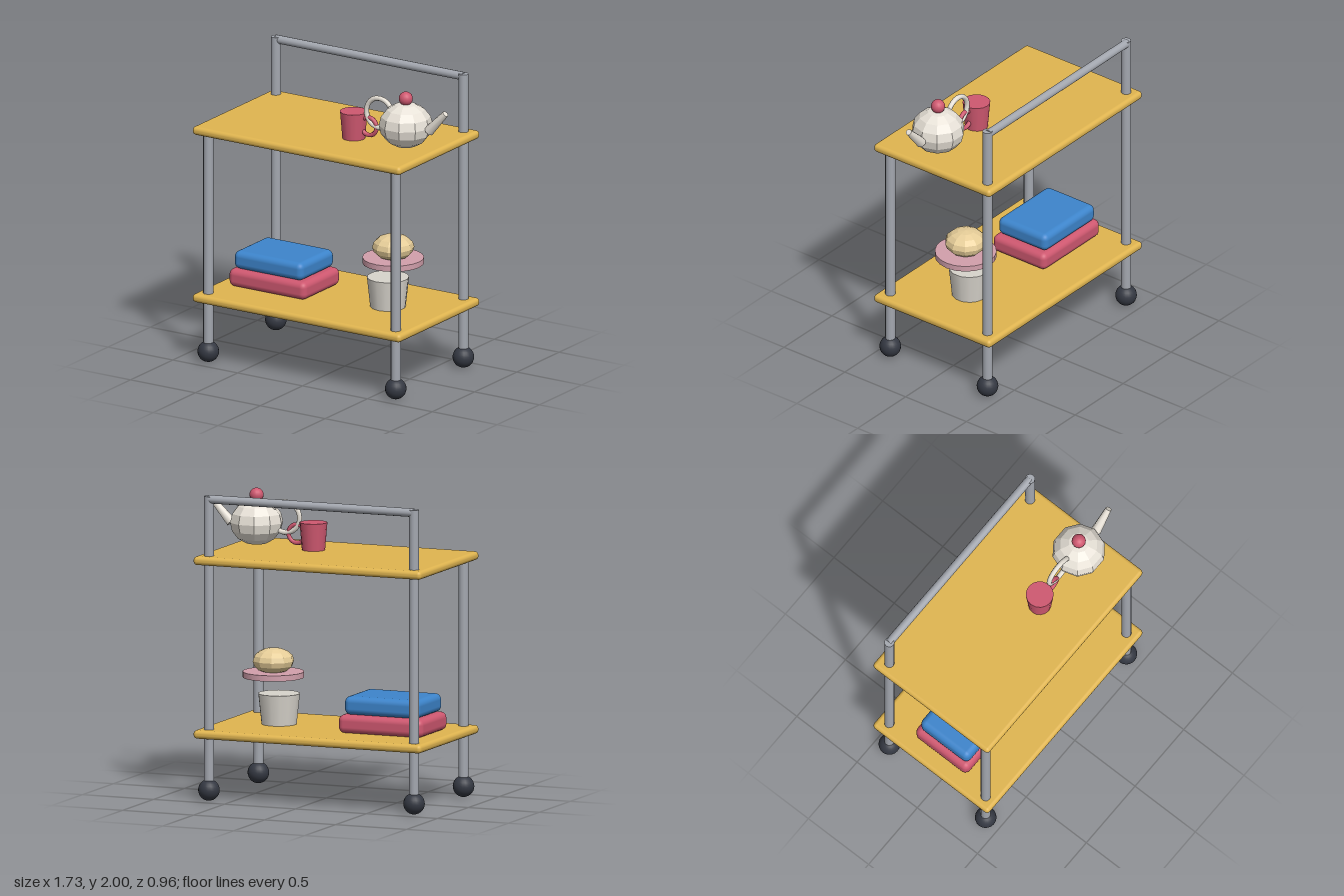
import * as THREE from 'three';
import { RoundedBoxGeometry } from 'three/addons/geometries/RoundedBoxGeometry.js';

const mat = (color, flatShading = false) => new THREE.MeshStandardMaterial({ color, flatShading });
const wood = mat(0xe0b550), metal = mat(0xa4a8b0), rubber = mat(0x343842);
const rose = mat(0xcf5870), blue = mat(0x3d85cc), pink = mat(0xd2a0ac);
const china = mat(0xe8e2d8), chinaFlat = mat(0xe8e2d8, true);
const cupGrey = mat(0xd8d4cc), crust = mat(0xe6cd98, true);

export function createModel() {
  const root = new THREE.Group();
  root.name = 'servingTrolley';

  const add = (parent, name, geometry, material, x, y, z) => {
    const mesh = new THREE.Mesh(geometry, material);
    mesh.name = name;
    mesh.position.set(x, y, z);
    parent.add(mesh);
    return mesh;
  };
  const group = (name, x, y, z) => {
    const g = new THREE.Group();
    g.name = name;
    g.position.set(x, y, z);
    root.add(g);
    return g;
  };

  // Two shelves with rounded edges
  for (const [name, y] of [['lowerShelf', 0.437], ['upperShelf', 1.572]]) {
    add(root, name, new RoundedBoxGeometry(1.605, 0.056, 0.96, 3, 0.025), wood, -0.068, y, 0);
  }

  // Posts on ball casters; the back pair rises to carry the handle
  for (const x of [-0.792, 0.653]) {
    for (const z of [0.4, -0.4]) {
      const bottom = 0.09, top = z > 0 ? 1.56 : 1.99;
      const side = x > 0 ? 'left' : 'right', end = z > 0 ? 'Front' : 'Back';
      add(root, `${side}${end}Post`, new THREE.CylinderGeometry(0.033, 0.033, top - bottom, 12),
        metal, x, (top + bottom) / 2, z);
      add(root, `${side}${end}Caster`, new THREE.SphereGeometry(0.07, 20, 14), rubber, x, 0.07, z);
    }
  }
  add(root, 'pushHandle', new THREE.CylinderGeometry(0.028, 0.028, 1.445, 12), metal,
    -0.07, 1.971, -0.405).rotation.z = Math.PI / 2;

  // Teapot: squashed faceted body, knob, ring handle and tapered spout
  const teapot = group('teapot', 0.535, 1.757, 0.1);
  add(teapot, 'teapotBody', new THREE.SphereGeometry(0.175, 10, 8), chinaFlat, 0, 0, 0).scale.y = 0.85;
  add(teapot, 'teapotKnob', new THREE.SphereGeometry(0.046, 16, 12), rose, 0, 0.178, 0);
  add(teapot, 'teapotHandle', new THREE.TorusGeometry(0.1, 0.017, 8, 24), china, -0.203, 0.044, 0);
  add(teapot, 'teapotSpout', new THREE.CylinderGeometry(0.021, 0.035, 0.19, 8), china,
    0.242, 0.058, 0).rotation.z = -0.75;

  // Mug
  const mug = group('mug', 0.134, 1.6, 0.1);
  add(mug, 'mugBody', new THREE.CylinderGeometry(0.09, 0.075, 0.18, 16), rose, 0, 0.09, 0);
  add(mug, 'mugHandle', new THREE.TorusGeometry(0.06, 0.015, 8, 20), rose, 0.116, 0.098, 0);

  // Folded cloths stacked on the lower shelf
  add(root, 'lowerCloth', new RoundedBoxGeometry(0.595, 0.12, 0.435, 3, 0.04), rose, -0.467, 0.525, 0);
  add(root, 'upperCloth', new RoundedBoxGeometry(0.53, 0.12, 0.4, 3, 0.04), blue, -0.47, 0.645, 0);

  // Cup, with the plate and bun above it
  add(root, 'cup', new THREE.CylinderGeometry(0.137, 0.115, 0.205, 14), cupGrey, 0.333, 0.563, 0);
  add(root, 'plate', new THREE.CylinderGeometry(0.2, 0.2, 0.038, 20), pink, 0.373, 0.787, 0);
  add(root, 'bun', new THREE.SphereGeometry(0.137, 10, 8), crust, 0.373, 0.875, 0).scale.y = 0.62;

  return root;
}
